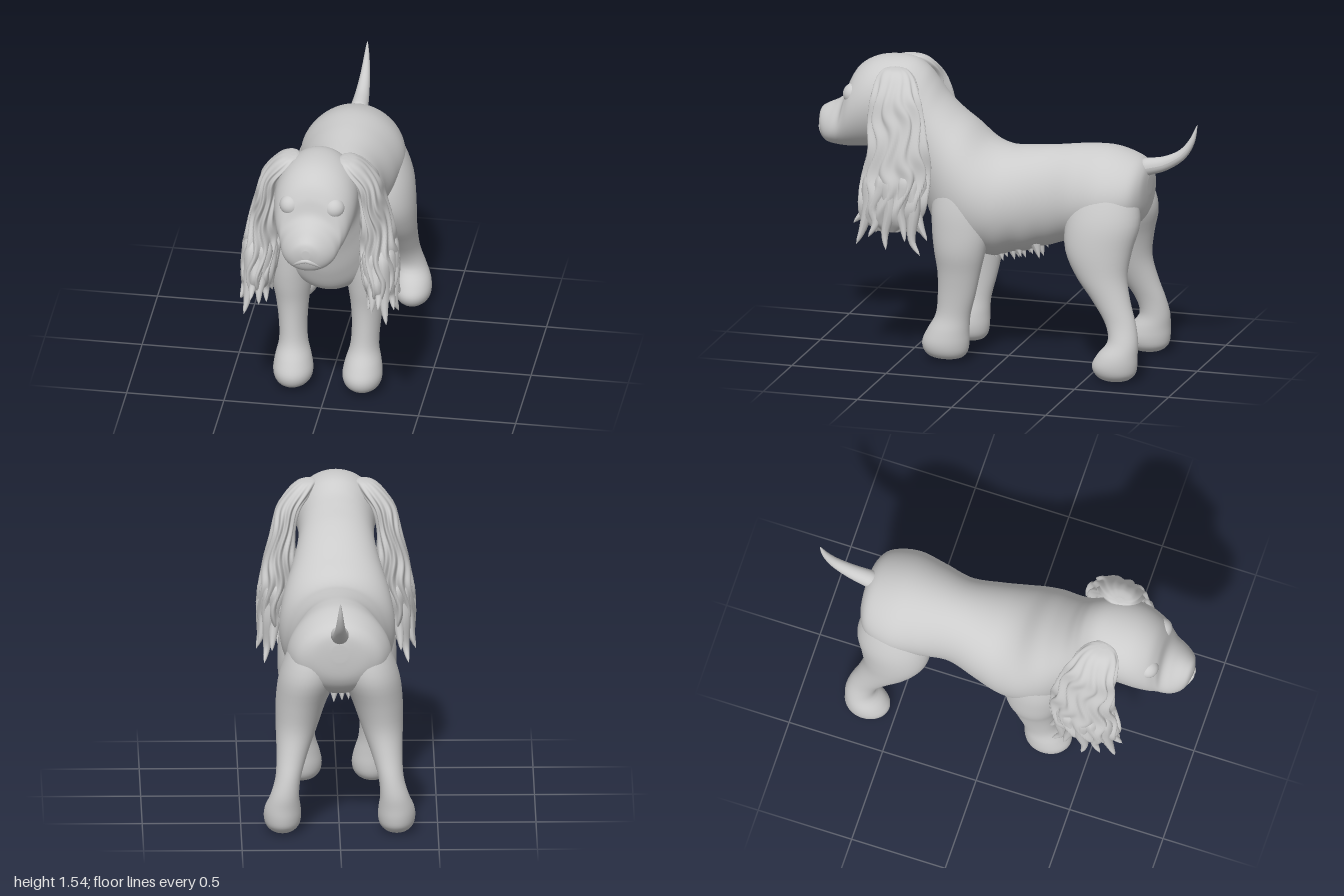
import * as THREE from 'three';

const material = new THREE.MeshStandardMaterial({ color: 0xcccccc, side: THREE.DoubleSide });

// Smooth interpolation of rows of numbers, t from 0 to 1.
function sample(rows, t) {
  const f = t * (rows.length - 1), i = Math.min(Math.floor(f), rows.length - 2), u = f - i;
  const a = rows[Math.max(i - 1, 0)], b = rows[i], c = rows[i + 1], d = rows[Math.min(i + 2, rows.length - 1)];
  return b.map((_, k) => b[k] + 0.5 * u * (c[k] - a[k] + u * (2 * a[k] - 5 * b[k] + 4 * c[k] - d[k]
    + u * (3 * (b[k] - c[k]) + d[k] - a[k]))));
}

// Skin of oval rings. Rows are [x, y, z, halfWidth, upY, upZ, egg]: (upY, upZ) is the
// ring's second half axis and egg widens its far end.
function loft(rows, steps = 48, sides = 40, shape = () => 1) {
  const pos = [], index = [];
  for (let i = 0; i <= steps; i++) {
    const [x, y, z, rx, uy, uz, egg] = sample(rows, i / steps);
    for (let j = 0; j < sides; j++) {
      const th = j / sides * Math.PI * 2, m = shape(th, y, z), s = m * Math.sin(th);
      pos.push(x + rx * m * Math.cos(th) * (1 - egg * Math.sin(th)), y + uy * s, z + uz * s);
      if (i === steps) continue;
      const a = i * sides + j, b = i * sides + (j + 1) % sides;
      index.push(a, b, a + sides, b, b + sides, a + sides);
    }
  }
  // Close both ends
  const n = pos.length / 3, last = steps * sides;
  pos.push(...rows[0].slice(0, 3), ...rows[rows.length - 1].slice(0, 3));
  for (let j = 0; j < sides; j++) {
    const k = (j + 1) % sides;
    index.push(n, k, j, n + 1, last + j, last + k);
  }
  const g = new THREE.BufferGeometry();
  g.setAttribute('position', new THREE.Float32BufferAttribute(pos, 3));
  g.setIndex(index);
  g.computeVertexNormals();
  return g;
}

// Row from back line to belly line: half width, top z and y, bottom z and y.
const slice = (w, tz, ty, bz, by, egg = 0) =>
  [0, (ty + by) / 2, (tz + bz) / 2, w, (ty - by) / 2, (tz - bz) / 2, egg];
// Level row, for parts listed from top to bottom.
const level = ([x, y, z, rx, rz]) => [x, y, z, rx, 0, rz, 0];

// Tube along points, swelling from its root and shrinking to a tip.
function strand(points, radius, power = 0.7, steps = 20, sides = 10) {
  const curve = new THREE.CatmullRomCurve3(points.map(p => new THREE.Vector3(...p)));
  const g = new THREE.TubeGeometry(curve, steps, radius, sides);
  const p = g.attributes.position, v = new THREE.Vector3();
  for (let i = 0; i <= steps; i++) {
    const t = i / steps, c = curve.getPointAt(t);
    const s = Math.pow(1 - t, power) * Math.min(1, 0.1 + 4 * t) + 0.01;
    for (let j = 0; j <= sides; j++) {
      const k = i * (sides + 1) + j;
      v.fromBufferAttribute(p, k).sub(c).multiplyScalar(s).add(c);
      p.setXYZ(k, v.x, v.y, v.z);
    }
  }
  g.computeVertexNormals();
  return g;
}

function mirrored(geometry) {
  const g = geometry.clone().scale(-1, 1, 1), ix = g.index.array;
  for (let i = 0; i < ix.length; i += 3) [ix[i], ix[i + 1]] = [ix[i + 1], ix[i]];
  g.computeVertexNormals();
  return g;
}

export function createModel() {
  const model = new THREE.Group();
  model.name = 'spaniel';
  const add = (name, g, parent = model) => {
    const m = new THREE.Mesh(g, material);
    m.name = name;
    parent.add(m);
  };
  const pair = (name, g) => {
    add('left' + name, g);
    add('right' + name, mirrored(g));
  };

  // Rump, trunk, neck, skull and muzzle in one skin, with coat folds along the lower ribs
  add('body', loft([
    slice(0.04, -0.75, 1.01, -0.75, 0.92), slice(0.15, -0.735, 1.07, -0.735, 0.82, 0.05),
    slice(0.228, -0.68, 1.115, -0.68, 0.75, 0.1), slice(0.265, -0.55, 1.153, -0.55, 0.7, 0.12),
    slice(0.243, -0.4, 1.15, -0.4, 0.665, 0.08), slice(0.215, -0.25, 1.132, -0.25, 0.62),
    slice(0.25, -0.1, 1.117, -0.1, 0.575), slice(0.283, 0, 1.113, 0.05, 0.54),
    slice(0.294, 0.09, 1.145, 0.19, 0.545, -0.05), slice(0.275, 0.18, 1.222, 0.325, 0.6, -0.1),
    slice(0.243, 0.26, 1.285, 0.395, 0.72, -0.1), slice(0.213, 0.33, 1.355, 0.445, 0.88, -0.05),
    slice(0.195, 0.38, 1.425, 0.49, 0.99), slice(0.192, 0.43, 1.488, 0.56, 1.045),
    slice(0.202, 0.5, 1.53, 0.65, 1.056, -0.06), slice(0.21, 0.6, 1.54, 0.71, 1.055, -0.1),
    slice(0.205, 0.7, 1.524, 0.765, 1.05, -0.06), slice(0.186, 0.78, 1.478, 0.82, 1.046, 0.02),
    slice(0.162, 0.825, 1.41, 0.86, 1.046, 0.1), slice(0.149, 0.852, 1.325, 0.89, 1.05, 0.14),
    slice(0.134, 0.9, 1.285, 0.93, 1.056, 0.16), slice(0.106, 0.957, 1.257, 0.96, 1.066, 0.16),
    slice(0.072, 0.988, 1.235, 0.982, 1.095, 0.1), slice(0.02, 1, 1.2, 0.998, 1.15),
  ], 150, 72, (th, y, z) => 1 + 0.02 * Math.max(0, -Math.sin(th + 0.3 * Math.cos(th)))
    * Math.sin(z * 48 + 2 * Math.cos(th)) * Math.exp(-Math.pow((z + 0.05) / 0.2, 2))));

  // Face details
  add('nose', new THREE.SphereGeometry(1, 24, 16).scale(0.045, 0.032, 0.03).translate(0, 1.21, 0.966));
  pair('Eye', new THREE.SphereGeometry(0.055, 28, 20).translate(0.112, 1.348, 0.79));
  pair('Eyelid', new THREE.TorusGeometry(0.055, 0.007, 10, 32).rotateY(0.55).rotateX(-0.15).translate(0.115, 1.348, 0.8));
  pair('Lip', strand([
    [-0.03, 1.13, 0.985], [0.005, 1.14, 0.996], [0.04, 1.122, 0.985], [0.077, 1.092, 0.953], [0.098, 1.08, 0.895],
  ], 0.013));

  // Long wavy ears with hanging locks
  pair('Ear', loft([
    [0.13, 1.512, 0.56, 0.015, 0.02], [0.148, 1.5, 0.555, 0.048, 0.07], [0.182, 1.455, 0.545, 0.064, 0.105],
    [0.24, 1.37, 0.53, 0.06, 0.125], [0.27, 1.25, 0.515, 0.06, 0.14], [0.287, 1.1, 0.5, 0.08, 0.155],
    [0.3, 0.96, 0.51, 0.09, 0.168], [0.312, 0.84, 0.525, 0.087, 0.17], [0.32, 0.755, 0.535, 0.06, 0.135],
    [0.33, 0.7, 0.54, 0.012, 0.05],
  ].map(level), 90, 96, (th, y) =>
    1 + 0.1 * Math.min(1, (1.53 - y) * 6) * Math.sin(11 * th + 1.8 * Math.sin(y * 22 + 2 * Math.sin(th)))));
  for (let i = 0; i < 12; i++) {
    const th = i / 12 * Math.PI * 2, c = Math.cos(th), s = Math.sin(th);
    const tip = 0.65 + 0.045 * Math.sin(i * 2.4) + 0.045 * Math.max(0, s) - 0.025 * c;
    const w = 0.014 * Math.sin(i * 3.1 + 1);
    pair('EarLock' + (i + 1), strand([
      [0.293 + 0.045 * c, 1.06, 0.505 + 0.1 * s],
      [0.302 + 0.057 * c, 0.94, 0.515 + 0.125 * s + w],
      [0.312 + 0.062 * c, 0.83, 0.53 + 0.14 * s - w],
      [0.322 + 0.062 * c, tip + 0.07, 0.53 + 0.15 * s + w],
      [0.328 + 0.077 * c, tip, 0.53 + 0.195 * s],
    ], 0.052, 0.6));
  }

  // Front legs
  pair('FrontLeg', loft([
    [0.13, 1.06, 0.2, 0.03, 0.04], [0.15, 0.96, 0.205, 0.105, 0.11], [0.174, 0.83, 0.205, 0.118, 0.145],
    [0.19, 0.7, 0.2, 0.112, 0.147],
    [0.195, 0.59, 0.202, 0.104, 0.133], [0.192, 0.48, 0.207, 0.085, 0.112], [0.188, 0.36, 0.22, 0.073, 0.098],
    [0.183, 0.25, 0.24, 0.073, 0.09], [0.18, 0.17, 0.265, 0.092, 0.108], [0.178, 0.105, 0.28, 0.102, 0.122],
    [0.178, 0.055, 0.28, 0.092, 0.113], [0.18, 0.025, 0.275, 0.062, 0.082], [0.18, 0.014, 0.27, 0.015, 0.025],
  ].map(level)));

  // Hind legs
  pair('HindLeg', loft([
    [0.1, 1.08, -0.56, 0.03, 0.04], [0.115, 1.02, -0.56, 0.095, 0.1], [0.132, 0.93, -0.56, 0.13, 0.155],
    [0.16, 0.8, -0.55, 0.147, 0.192], [0.195, 0.66, -0.535, 0.128, 0.175], [0.218, 0.53, -0.557, 0.105, 0.135],
    [0.24, 0.41, -0.615, 0.08, 0.1], [0.26, 0.3, -0.67, 0.065, 0.08], [0.278, 0.21, -0.69, 0.072, 0.078],
    [0.288, 0.14, -0.665, 0.09, 0.103], [0.29, 0.085, -0.65, 0.095, 0.117], [0.29, 0.04, -0.65, 0.084, 0.106],
    [0.29, 0.01, -0.65, 0.053, 0.07], [0.29, 0, -0.65, 0.012, 0.02],
  ].map(level)));

  // Tail
  add('tail', strand([
    [0, 1.03, -0.62], [0, 1.06, -0.74], [0, 1.085, -0.83], [0, 1.14, -0.92], [0, 1.21, -0.97], [0, 1.3, -1],
  ], 0.055, 0.75, 40, 24));

  // Belly fur tufts
  const belly = new THREE.Group();
  belly.name = 'bellyTufts';
  model.add(belly);
  for (let r = 0; r < 6; r++) for (let c = -1; c <= 1; c++) {
    const x = c * 0.07 + (r % 2 ? 0.02 : -0.02), z = 0.07 - r * 0.048;
    const y = 0.56 + r * 0.01 + 0.012 * Math.abs(c);
    add('tuft', strand([
      [x, y + 0.06, z + 0.03], [x, y, z], [x * 1.1, y - 0.055 + 0.012 * Math.sin(r * 2 + c), z - 0.022],
    ], 0.045, 0.9, 12, 10), belly);
  }
  return model;
}
